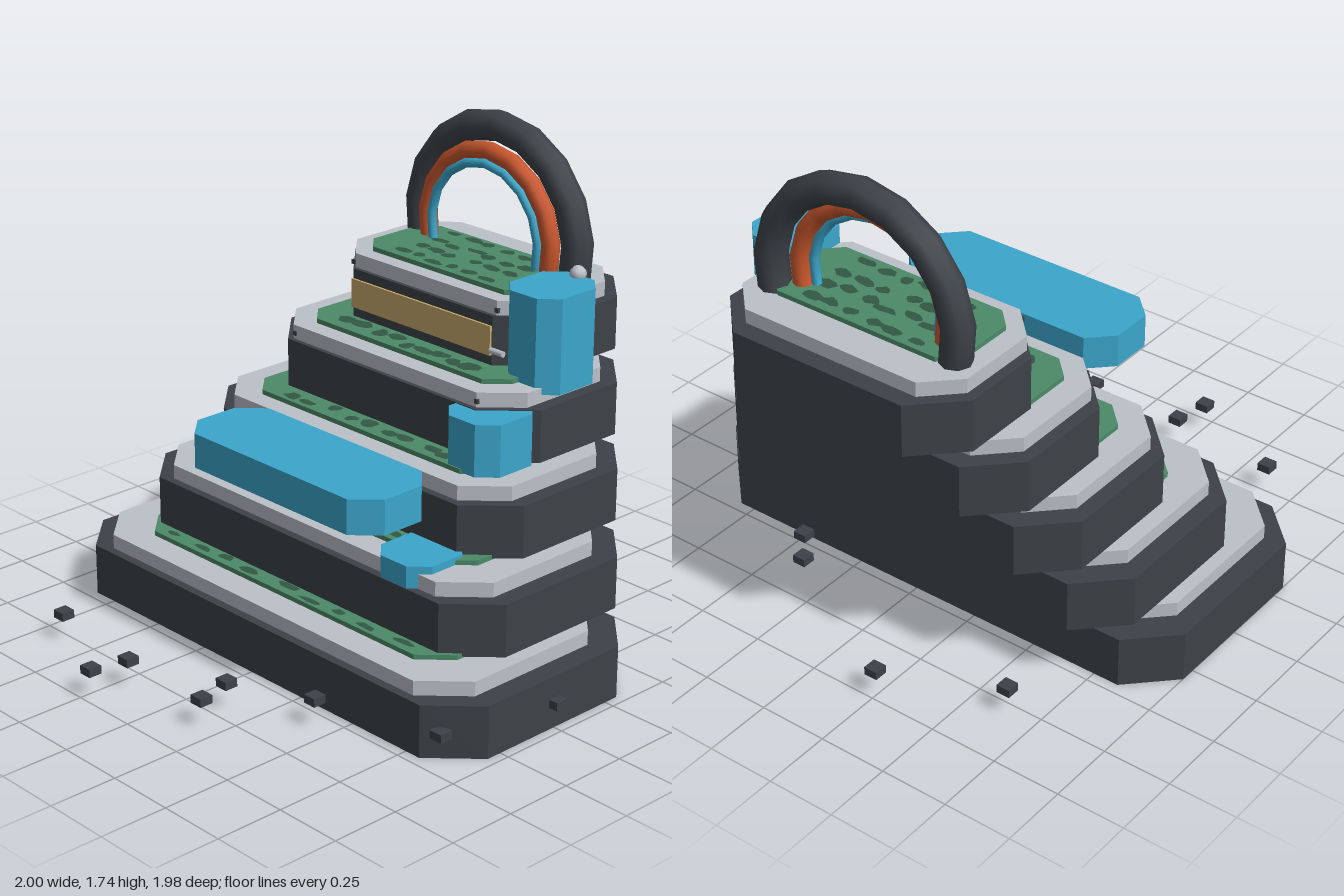
import * as THREE from 'three';

const mat = (name, color, extra = {}) => {
  const m = new THREE.MeshStandardMaterial({ color, ...extra });
  m.name = name;
  return m;
};

export function createModel() {
  const root = new THREE.Group();
  root.name = 'tieredGarden';
  const dark = mat('charcoal', 0x3d4248);
  const light = mat('pale stone', 0xbcc0c8);
  const green = mat('moss green', 0x4b8a68);
  const deep = mat('deep moss', 0x325844);
  const blue = mat('water blue', 0x3ba6cb);
  const orange = mat('burnt orange', 0xc9562c);
  const tan = mat('sand', 0xc9aa6c);

  const add = (name, geo, material, x = 0, y = 0, z = 0, parent = root) => {
    const m = new THREE.Mesh(geo, material);
    m.name = name;
    m.position.set(x, y, z);
    parent.add(m);
    return m;
  };

  // Upright slab with cut corners, given its extents and corner size
  const slab = (x0, x1, z0, z1, y0, y1, c) => {
    const pts = [
      [x0 + c, z1], [x1 - c, z1], [x1, z1 - c], [x1, z0 + c],
      [x1 - c, z0], [x0 + c, z0], [x0, z0 + c], [x0, z1 - c],
    ].map(([x, z]) => new THREE.Vector2(x, -z));
    const g = new THREE.ExtrudeGeometry(new THREE.Shape(pts), { depth: y1 - y0, bevelEnabled: false });
    return g.rotateX(-Math.PI / 2).translate(0, y0, 0);
  };

  let seed = 11;
  const rand = () => {
    seed = (seed * 16807) % 2147483647;
    return seed / 2147483647;
  };

  // Irregular flat patch lying on the moss
  const patch = (x, y, z, rx, rz, parent) => {
    const pts = [];
    for (let i = 0; i < 9; i++) {
      const a = (i / 9) * Math.PI * 2;
      const k = 0.6 + 0.4 * rand();
      pts.push(new THREE.Vector2(Math.cos(a) * rx * k, Math.sin(a) * rz * k));
    }
    add('mossPatch', new THREE.ShapeGeometry(new THREE.Shape(pts)).rotateX(-Math.PI / 2), deep, x, y, z, parent);
  };

  // Tiers: body half width, body z range, trim half width, trim z range, moss front, moss back
  const cx = -0.018;
  const tiers = [
    [0.983, -0.46, 0.462, 0.905, -0.38, 0.43, 0.325, -0.25],
    [0.86, -0.58, 0.26, 0.793, -0.505, 0.23, 0.13, -0.38],
    [0.738, -0.705, 0.058, 0.682, -0.63, 0.03, -0.045, -0.51],
    [0.617, -0.825, -0.143, 0.57, -0.755, -0.16, -0.23, -0.64],
    [0.495, -0.95, -0.345, 0.457, -0.885, -0.36, -0.42, -0.76],
  ];
  tiers.forEach(([w, zb, zf, tw, tb, tf, gf, gb], i) => {
    const tier = new THREE.Group();
    tier.name = 'tier' + (i + 1);
    root.add(tier);
    const y = i * 0.245;
    const gw = tw * 0.84;
    const top = y + 0.257;
    add('tierBody', slab(cx - w, cx + w, zb, zf, y, y + 0.188, dark), dark, 0, 0, 0, tier).geometry =
      slab(cx - w, cx + w, zb, zf, y, y + 0.188, 0.155);
    add('tierTrim', slab(cx - tw, cx + tw, tb, tf, y + 0.188, y + 0.24, 0.14 - i * 0.007), light, 0, 0, 0, tier);
    add('mossBed', slab(cx - gw, cx + gw, gb, gf, y + 0.24, top, 0.1 - i * 0.009), green, 0, 0, 0, tier);

    // Patches along the open strip in front of the next tier, or over the whole top bed
    const back = i < 4 ? tiers[i + 1][2] : gb;
    const rows = i < 4 ? 1 : 4;
    const cols = i < 4 ? 9 : 6;
    const dz = (gf - back) / rows;
    const span = 2 * (gw - 0.13);
    for (let r = 0; r < rows; r++) {
      for (let c = 0; c < cols; c++) {
        const x = cx - span / 2 + span * (c + 0.25 + 0.5 * rand()) / cols;
        const z = back + dz * (r + 0.3 + 0.4 * rand());
        patch(x, top + 0.002, z, 0.03 + 0.03 * rand(), dz * (0.25 + 0.1 * rand()), tier);
      }
    }
  });

  // Water blocks
  [
    ['upperWater', 0.355, 0.595, -0.61, -0.33, 0.95, 1.287, 0.06],
    ['middleWater', 0.355, 0.595, -0.32, -0.05, 0.735, 0.92, 0.06],
    ['floatingPool', -0.333, 0.583, 0.153, 0.485, 0.682, 0.806, 0.085],
    ['lowerWater', 0.355, 0.595, 0, 0.257, 0.43, 0.512, 0.06],
  ].forEach(([name, x0, x1, z0, z1, y0, y1, c]) => add(name, slab(x0, x1, z0, z1, y0, y1, c), blue));

  // Nested arches whose feet sink into the top tier
  const arch = (name, radius, tube, z, material) => {
    const arc = Math.PI * 1.4;
    const g = new THREE.TorusGeometry(radius, tube, 8, 12, arc).rotateZ(Math.PI / 2 - arc / 2);
    add(name, g, material, -0.02, 1.305, z);
  };
  arch('outerArch', 0.38, 0.056, -0.718, dark);
  arch('middleArch', 0.299, 0.033, -0.672, orange);
  arch('innerArch', 0.258, 0.017, -0.65, blue);

  // Front panel and small fittings
  add('signPanel', new THREE.BoxGeometry(0.68, 0.105, 0.009), tan, -0.02, 1.08, -0.341);
  add('spoutKnob', new THREE.SphereGeometry(0.03, 8, 6), light, 0.47, 1.295, -0.6);
  add('panelHandle', new THREE.CylinderGeometry(0.011, 0.011, 0.06, 8).rotateZ(Math.PI / 2), light, 0.36, 1.053, -0.33);
  [[-0.37, 1.187, -0.36], [0.33, 1.187, -0.36], [-0.46, 0.945, -0.16], [0.435, 0.945, -0.16]].forEach(([x, y, z]) =>
    add('trimBolt', new THREE.BoxGeometry(0.016, 0.016, 0.01), dark, x, y, z));

  // Hovering stones scattered around the base
  const stone = new THREE.BoxGeometry(0.05, 0.03, 0.05);
  [
    [-0.24, -0.97], [-0.635, -0.78], [0.975, 0], [0.87, 0.425], [0.42, 0.555], [0.137, 0.69],
    [0.17, 0.825], [-0.21, 0.825], [-0.24, 0.96], [-0.635, 0.77], [0.425, -0.555], [0.337, -0.66],
  ].forEach(([x, z]) => add('stone', stone, dark, x, 0.095, z));

  return root;
}
